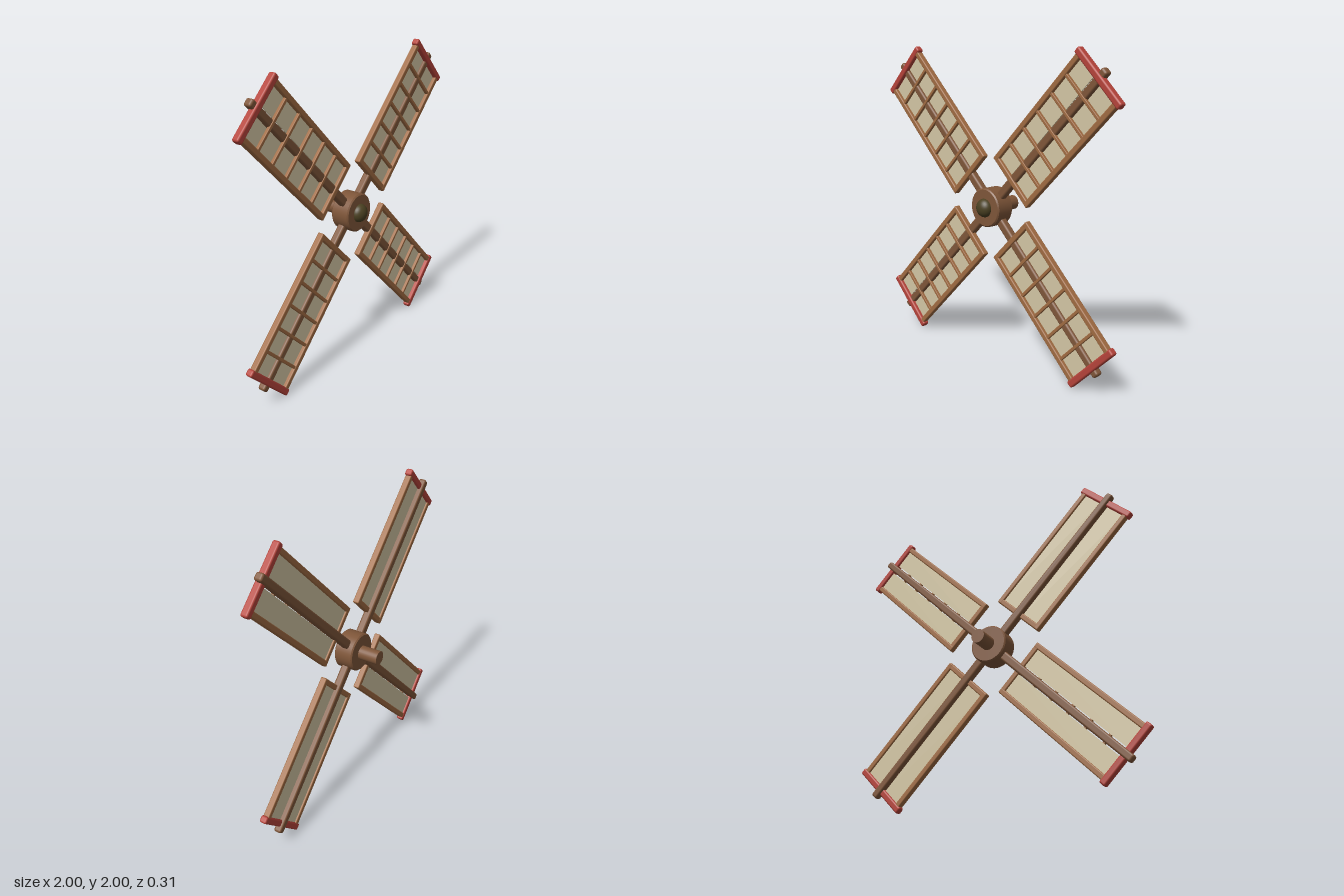
import * as THREE from 'three';
import { RoundedBoxGeometry } from 'three/addons/geometries/RoundedBoxGeometry.js';

const mat = (name, color) => {
  const m = new THREE.MeshStandardMaterial({ color });
  m.name = name;
  return m;
};

export function createModel() {
  const darkWood = mat('dark wood', 0x7f5639);
  const lightWood = mat('light wood', 0xa06b42);
  const cloth = mat('sail cloth', 0xd3c6a4);
  const red = mat('red paint', 0xb5433a);
  const bronze = mat('dark bronze', 0x4b4122);

  const add = (parent, name, geometry, material, x = 0, y = 0, z = 0) => {
    const mesh = new THREE.Mesh(geometry, material);
    mesh.name = name;
    mesh.position.set(x, y, z);
    parent.add(mesh);
    return mesh;
  };
  const bar = (w, h, d, r) => new RoundedBoxGeometry(w, h, d, 2, r);

  // One blade pointing along +y from the hub centre
  function createBlade() {
    const blade = new THREE.Group();
    blade.name = 'blade';
    const inner = 0.274, outer = 1.185, z = 0.053;

    // Main arm, narrowing toward the tip
    const start = 0.06, end = 1.243;
    const arm = bar(0.06, end - start, 0.052, 0.015);
    const p = arm.attributes.position;
    for (let i = 0; i < p.count; i++) {
      const t = p.getY(i) / (end - start) + 0.5;
      p.setX(i, p.getX(i) * (1 - 0.2 * t));
    }
    add(blade, 'arm', arm, darkWood, 0, (start + end) / 2, 0.04);

    // Frame rails and cloth panels on both sides of the arm
    for (const s of [-1, 1]) {
      add(blade, 'sideRail', bar(0.036, outer - inner + 0.036, 0.042, 0.008), lightWood,
        s * 0.181, (inner + outer) / 2, z);
      add(blade, 'sailPanel', new THREE.BoxGeometry(0.142, outer - inner, 0.008), cloth,
        s * 0.103, (inner + outer) / 2, 0.047);
    }
    add(blade, 'innerRail', bar(0.39, 0.036, 0.04, 0.008), lightWood, 0, inner, z);
    add(blade, 'tipRail', bar(0.43, 0.045, 0.048, 0.012), red, 0, outer, z);

    // Lattice bars across the face of the sail
    for (let i = 1; i < 6; i++) {
      add(blade, 'latticeBar', bar(0.35, 0.02, 0.022, 0.004), lightWood,
        0, inner + (outer - inner) * i / 6, 0.06);
    }
    return blade;
  }

  const model = new THREE.Group();
  model.name = 'windmillSails';
  const rotor = new THREE.Group();
  rotor.name = 'rotor';
  rotor.position.y = 1;
  model.add(rotor);

  for (let i = 0; i < 4; i++) {
    const blade = createBlade();
    blade.rotation.z = Math.PI / 4 + i * Math.PI / 2;
    rotor.add(blade);
  }

  // Hub with bevelled rims
  const hubProfile = [[0, -0.022], [0.117, -0.022], [0.125, -0.014], [0.125, 0.1], [0.117, 0.108], [0, 0.108]];
  const edges = [];
  for (let i = 0; i < hubProfile.length - 1; i++) {
    // Each band is its own lathe so that the rims stay crisp
    edges.push(new THREE.LatheGeometry([hubProfile[i], hubProfile[i + 1]].map(([r, y]) => new THREE.Vector2(r, y)), 40));
  }
  edges.forEach((g) => add(rotor, 'hub', g.rotateX(Math.PI / 2), darkWood));

  // Nose cap in front and axle behind
  const cap = new THREE.SphereGeometry(0.06, 28, 10, 0, Math.PI * 2, 0, Math.PI / 2);
  cap.scale(1, 0.8, 1).rotateX(Math.PI / 2);
  add(rotor, 'noseCap', cap, bronze, 0, 0, 0.107);
  add(rotor, 'axle', new THREE.CylinderGeometry(0.046, 0.046, 0.17, 28).rotateX(Math.PI / 2), darkWood, 0, 0, -0.07);

  return model;
}
